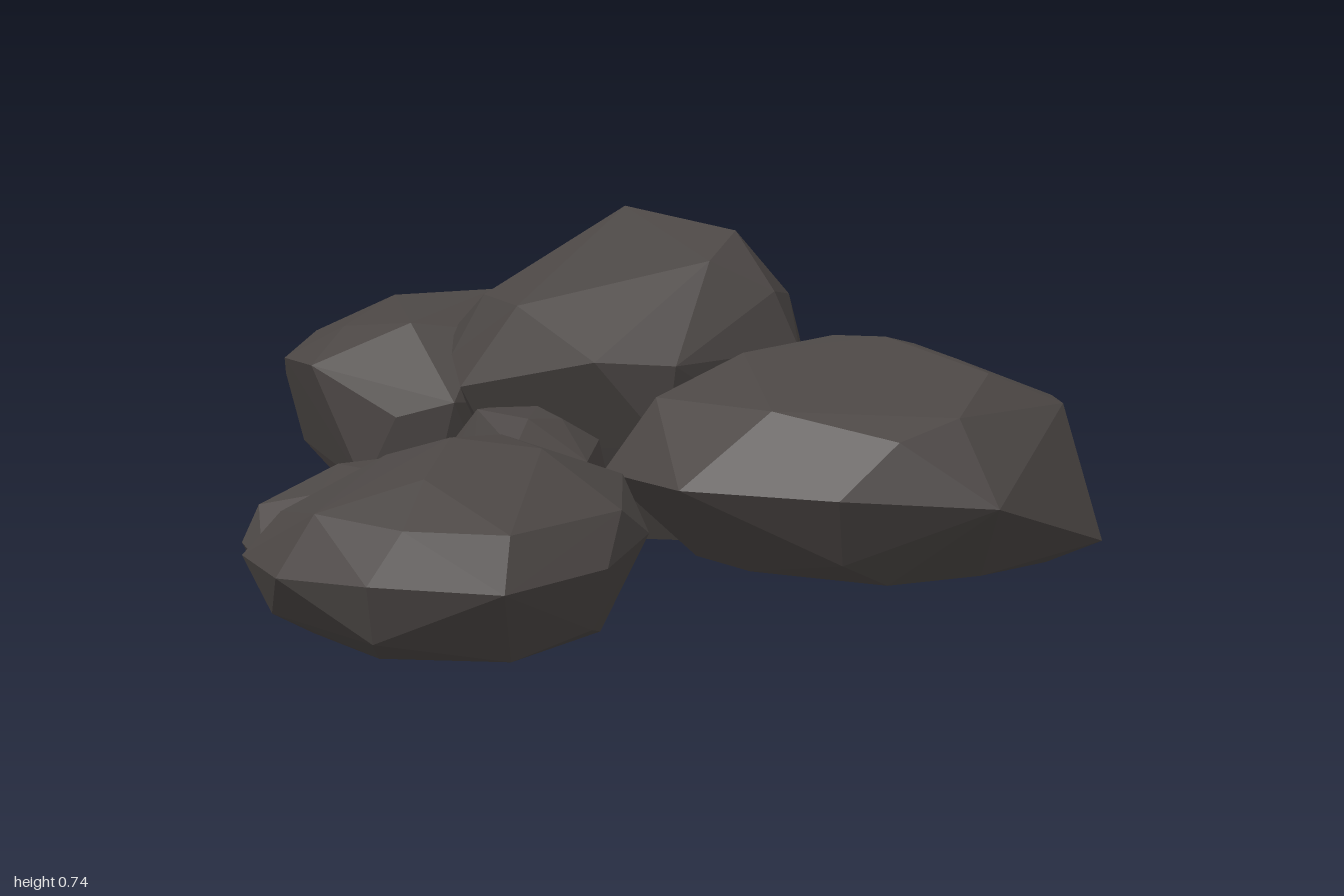
import * as THREE from 'three';
import { ConvexGeometry } from 'three/addons/geometries/ConvexGeometry.js';

// Each boulder is the hull of a foot outline, a belt, a shoulder and a crown of corners [x, y, z].
const boulders = {
  tallBoulder: {
    foot: [[-0.36, 0, -0.74], [0.02, 0, -0.75], [0.16, 0.02, -0.55], [0.1, 0.01, -0.34], [-0.2, 0, -0.3], [-0.4, 0.02, -0.5]],
    belt: [[-0.4, 0.14, -0.83], [-0.08, 0.13, -0.87], [0.2, 0.2, -0.74], [0.27, 0.24, -0.5], [0.12, 0.24, -0.22],
      [-0.28, 0.21, -0.18], [-0.48, 0.22, -0.45], [-0.38, 0.33, -0.93], [-0.09, 0.33, -0.91], [0.23, 0.38, -0.79]],
    shoulder: [[0.31, 0.43, -0.53], [0.15, 0.42, -0.2], [0, 0.43, -0.11], [-0.32, 0.36, -0.1], [-0.38, 0.42, -0.17], [-0.5, 0.45, -0.4],
      [-0.53, 0.5, -0.6], [-0.49, 0.45, -0.85], [-0.1, 0.54, -0.91], [0.2, 0.53, -0.76], [0.26, 0.56, -0.5], [-0.2, 0.54, -0.14], [-0.36, 0.53, -0.86]],
    crown: [[-0.12, 0.74, -0.53], [0.15, 0.69, -0.54], [0.14, 0.63, -0.41], [-0.34, 0.55, -0.25], [-0.08, 0.66, -0.76]],
  },
  leftBoulder: {
    foot: [[-0.82, 0.01, -0.5], [-0.42, 0.01, -0.65], [-0.35, 0, -0.4], [-0.48, 0.01, -0.22], [-0.6, 0.01, -0.22]],
    belt: [[-0.97, 0.14, -0.47], [-0.9, 0.14, -0.62], [-0.8, 0.17, -0.75], [-0.5, 0.15, -0.77], [-0.36, 0.1, -0.3], [-0.62, 0.1, -0.18]],
    shoulder: [[-1, 0.31, -0.44], [-0.93, 0.3, -0.7], [-0.87, 0.3, -0.81], [-0.6, 0.31, -0.85], [-0.4, 0.31, -0.75],
      [-0.35, 0.28, -0.45], [-0.38, 0.31, -0.18], [-0.52, 0.27, -0.16], [-0.77, 0.37, -0.2], [-0.95, 0.36, -0.36]],
    crown: [[-0.96, 0.41, -0.52], [-0.78, 0.5, -0.6], [-0.53, 0.52, -0.66], [-0.42, 0.45, -0.4], [-0.56, 0.47, -0.3], [-0.76, 0.45, -0.33], [-0.8, 0.45, -0.74]],
  },
  wideBoulder: {
    foot: [[0.18, 0, -0.25], [0.28, 0.01, -0.58], [0.7, 0, -0.66], [0.88, 0, -0.52], [0.8, 0.01, -0.29], [0.64, 0, -0.16], [0.34, 0, -0.16]],
    belt: [[1, 0.06, -0.51], [0.95, 0.1, -0.62], [0.69, 0.18, -0.72], [0.41, 0.18, -0.73], [0.22, 0.2, -0.62], [0.06, 0.18, -0.42],
      [0, 0.2, -0.2], [0.03, 0.2, -0.09], [0.26, 0.2, 0.04], [0.59, 0.2, 0.01], [0.87, 0.18, -0.15], [0.57, 0.05, -0.08]],
    shoulder: [[0.91, 0.35, -0.5], [0.86, 0.35, -0.61], [0.56, 0.36, -0.69], [0.3, 0.35, -0.62], [0.12, 0.36, -0.35],
      [0.13, 0.36, -0.14], [0.42, 0.36, -0.06], [0.68, 0.31, -0.09], [0.77, 0.35, -0.2]],
    crown: [[0.43, 0.48, -0.41], [0.54, 0.48, -0.43], [0.7, 0.44, -0.43], [0.28, 0.45, -0.26], [0.56, 0.45, -0.58], [0.78, 0.42, -0.38]],
  },
  frontStone: {
    foot: [[-0.18, 0.015, 0.72], [-0.04, 0.015, 0.42], [0.16, 0.015, 0.36], [0.29, 0.015, 0.48], [0.24, 0.015, 0.74], [0.02, 0.015, 0.82]],
    belt: [[-0.3, 0.16, 0.77], [-0.14, 0.16, 0.9], [0.06, 0.17, 0.925], [0.28, 0.16, 0.84], [0.37, 0.17, 0.62], [0.37, 0.2, 0.44],
      [0.3, 0.2, 0.35], [0.13, 0.2, 0.28], [-0.02, 0.18, 0.34], [-0.18, 0.17, 0.48], [-0.25, 0.17, 0.62],
      [-0.23, 0.06, 0.78], [0.05, 0.06, 0.89], [0.33, 0.05, 0.6]],
    shoulder: [[-0.24, 0.24, 0.73], [-0.09, 0.27, 0.85], [0.1, 0.26, 0.87], [0.26, 0.25, 0.78], [0.36, 0.26, 0.54], [0.28, 0.29, 0.36],
      [0.12, 0.29, 0.3], [-0.13, 0.3, 0.48]],
    crown: [[0.05, 0.38, 0.61], [0.2, 0.36, 0.54], [0.06, 0.36, 0.43], [0.08, 0.33, 0.76], [-0.08, 0.34, 0.62]],
  },
  roundPebble: {
    foot: [[-0.12, 0.015, 0.2], [-0.05, 0.015, 0.1], [0.07, 0.015, 0.14], [0.08, 0.015, 0.27], [-0.05, 0.015, 0.28]],
    belt: [[-0.24, 0.17, 0.14], [-0.17, 0.19, 0.01], [-0.05, 0.2, -0.03], [0.05, 0.19, 0], [0.13, 0.18, 0.08], [0.16, 0.18, 0.23],
      [0.08, 0.18, 0.34], [-0.06, 0.18, 0.34], [-0.2, 0.18, 0.26]],
    shoulder: [[-0.21, 0.28, 0.14], [-0.14, 0.31, 0.03], [-0.03, 0.31, 0], [0.1, 0.3, 0.08], [0.14, 0.28, 0.22], [0.03, 0.31, 0.32], [-0.16, 0.3, 0.22]],
    crown: [[-0.12, 0.36, 0.14], [-0.04, 0.36, 0.08], [0.05, 0.35, 0.15], [0.02, 0.36, 0.24], [-0.1, 0.37, 0.23]],
  },
  sidePebble: {
    foot: [[-0.32, 0.015, 0.54], [-0.22, 0.015, 0.4], [-0.05, 0.015, 0.45], [-0.1, 0.015, 0.62], [-0.25, 0.015, 0.63]],
    belt: [[-0.39, 0.15, 0.64], [-0.37, 0.15, 0.5], [-0.33, 0.15, 0.38], [-0.2, 0.15, 0.28], [0, 0.15, 0.35], [0, 0.14, 0.6],
      [-0.2, 0.12, 0.68], [-0.31, 0.12, 0.69], [-0.36, 0.05, 0.6]],
    shoulder: [[-0.37, 0.22, 0.61], [-0.32, 0.25, 0.42], [-0.19, 0.27, 0.31], [-0.05, 0.25, 0.4], [-0.24, 0.25, 0.6]],
    crown: [[-0.26, 0.29, 0.5], [-0.16, 0.3, 0.42], [-0.14, 0.29, 0.54]],
  },
};

export function createModel() {
  const group = new THREE.Group();
  group.name = 'rockPile';
  const stone = new THREE.MeshStandardMaterial({ color: 0x4b4644 });
  stone.name = 'darkStone';

  for (const [name, { foot, belt, shoulder, crown }] of Object.entries(boulders)) {
    const corners = [...foot, ...belt, ...shoulder, ...crown].map((p) => new THREE.Vector3(...p));
    // The hull has one normal per face, which gives the faceted look
    const mesh = new THREE.Mesh(new ConvexGeometry(corners), stone);
    mesh.name = name;
    group.add(mesh);
  }
  return group;
}
